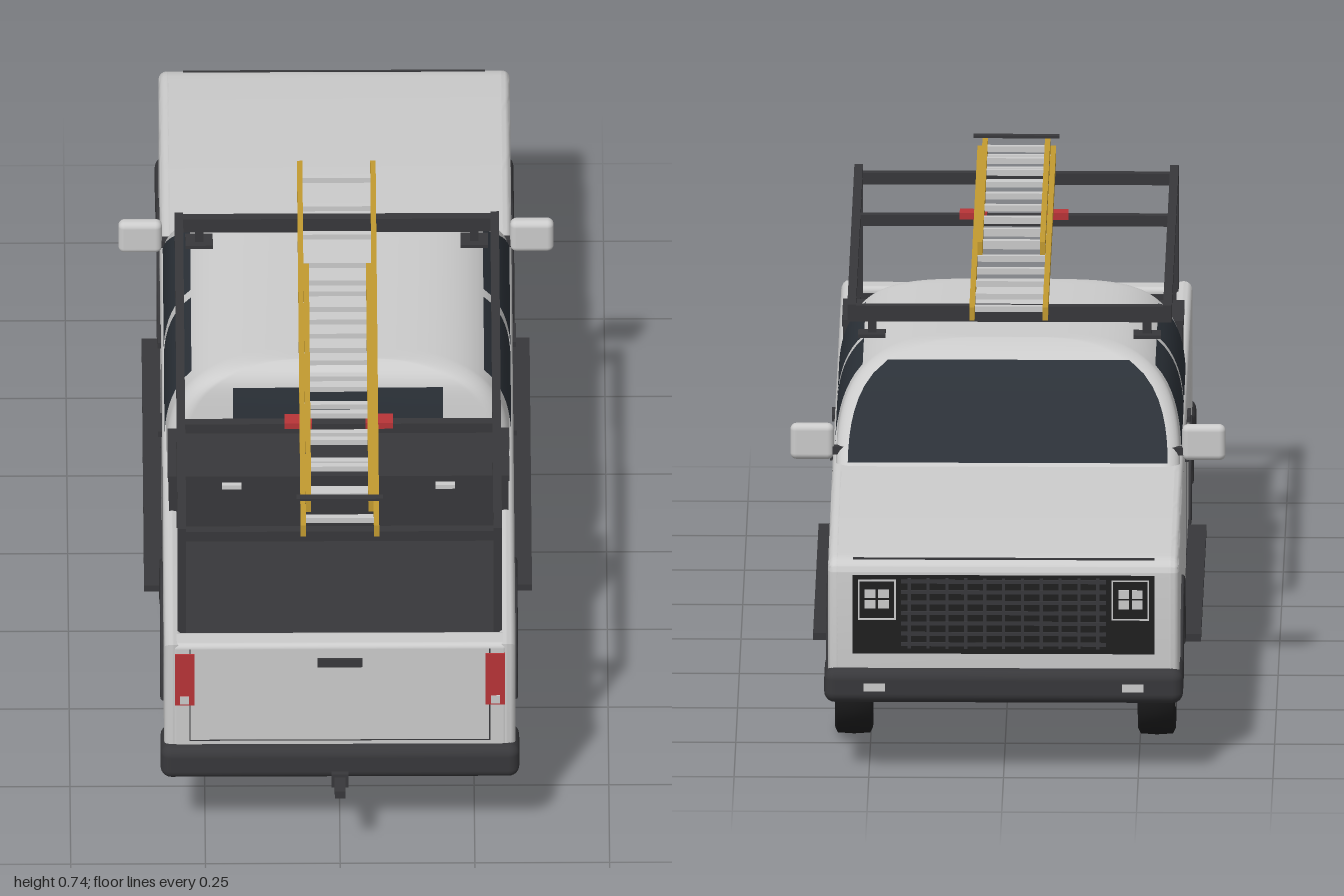
import * as THREE from 'three';
import { mergeVertices, toCreasedNormals } from 'three/addons/utils/BufferGeometryUtils.js';
import { RoundedBoxGeometry } from 'three/addons/geometries/RoundedBoxGeometry.js';

const mat = (color, side = THREE.FrontSide) => new THREE.MeshStandardMaterial({ color, side });
const paint = mat(0xcccccc), dark = mat(0x38383b), black = mat(0x1f1f20), red = mat(0xb83438);
const yellow = mat(0xc29a30), glassMat = mat(0x2b3138, THREE.DoubleSide), well = mat(0x1f1f20, THREE.DoubleSide);
const hubMat = mat(0xcccccc, THREE.DoubleSide);
const WHEEL_Z = [0.493, -0.667], WHEEL_Y = 0.12;

export function createModel() {
  const truck = new THREE.Group();
  truck.name = 'pickupTruck';

  const add = (name, geo, m) => {
    const mesh = new THREE.Mesh(geo, m);
    mesh.name = name;
    truck.add(mesh);
    return mesh;
  };
  // Box given by its extents on each axis; optional rounding
  const box = (name, m, [x0, x1], [y0, y1], [z0, z1], r = 0) => {
    const s = [x1 - x0, y1 - y0, z1 - z0];
    const geo = r ? new RoundedBoxGeometry(...s, 3, r) : new THREE.BoxGeometry(...s);
    geo.translate((x0 + x1) / 2, (y0 + y1) / 2, (z0 + z1) / 2);
    return add(name, geo, m);
  };
  // The same box on both sides
  const pair = (name, m, [x0, x1], y, z, r = 0) => {
    box(name + 'Left', m, [x0, x1], y, z, r);
    box(name + 'Right', m, [-x1, -x0], y, z, r);
  };
  // Side outline (z, y) extruded across x, rounded by b
  const across = (name, m, shape, x0, x1, b = 0) => {
    const geo = new THREE.ExtrudeGeometry(shape, {
      depth: x1 - x0 - 2 * b, bevelEnabled: b > 0, bevelThickness: b, bevelSize: b,
      bevelOffset: -b, bevelSegments: 4, curveSegments: 24,
    });
    geo.rotateY(-Math.PI / 2).translate(x1 - b, 0, 0);
    return add(name, toCreasedNormals(geo, 0.6), m);
  };
  // Smooth grid surface from f(u, v) -> [x, y, z], facing u cross v
  const grid = (name, m, nu, nv, f) => {
    const pos = [], idx = [];
    for (let j = 0; j <= nv; j++) for (let i = 0; i <= nu; i++) {
      pos.push(...f(i / nu, j / nv));
      if (i < nu && j < nv) {
        const a = j * (nu + 1) + i, b = a + nu + 1;
        idx.push(a, a + 1, b, a + 1, b + 1, b);
      }
    }
    let geo = new THREE.BufferGeometry();
    geo.setAttribute('position', new THREE.Float32BufferAttribute(pos, 3));
    geo.setIndex(idx);
    geo = mergeVertices(geo, 1e-5);
    geo.computeVertexNormals();
    return add(name, geo, m);
  };

  // Lower body outline with wheel arches
  const outline = (zRear) => {
    const s = new THREE.Shape();
    s.moveTo(zRear, 0.445);
    s.lineTo(zRear, zRear > 0.5 ? 0.158 : 0.13);
    for (const z of WHEEL_Z) if (z < zRear) s.absarc(z, WHEEL_Y, 0.15, 0.1, Math.PI - 0.1, false);
    s.lineTo(-0.978, 0.145);
    s.lineTo(-0.987, 0.385);
    s.quadraticCurveTo(-0.987, 0.41, -0.95, 0.414);
    s.quadraticCurveTo(-0.7, 0.432, -0.4, 0.437);
    return s;
  };
  across('bodySideLeft', paint, outline(0.926), 0.293, 0.326, 0.015);
  across('bodySideRight', paint, outline(0.926), -0.326, -0.293, 0.015);
  across('hoodAndCabBase', paint, outline(0.33), -0.31, 0.31);

  // Underbody
  const belly = new THREE.Shape();
  [[0.92, 0.155], [0.32, 0.09], [-0.5, 0.09], [-0.96, 0.14], [-0.96, 0.25], [0.9, 0.25]]
    .forEach(([z, y], i) => (i ? belly.lineTo(z, y) : belly.moveTo(z, y)));
  across('underbody', black, belly, -0.235, 0.235);
  box('rearPan', black, [-0.3, 0.3], [0.15, 0.2], [0.65, 0.91]);
  box('frontPan', black, [-0.3, 0.3], [0.138, 0.2], [-0.96, -0.83]);
  pair('rocker', black, [0.2, 0.318], [0.1, 0.145], [-0.5, 0.32]);
  pair('runningBoard', dark, [0.3, 0.36], [0.128, 0.142], [-0.49, 0.305]);

  // Cab: rounded plan sections stacked by height t (0 = belt line, 1 = roof crown)
  const Y0 = 0.43, H = 0.195;
  const halfW = (t) => 0.319 * Math.pow(Math.max(0, 1 - Math.pow(t, 2.5)), 1 / 4.7);
  const roll = (t) => Math.pow(t, 14);
  const zFront = (t) => -0.402 + 0.19 * t + 0.05 * roll(t);
  const zBack = (t) => 0.325 - 0.03 * t - 0.035 * roll(t);
  grid('cab', paint, 28, 26, (u, v) => {
    const t = Math.sin(v * Math.PI / 2), w = halfW(t), r = Math.min(0.035, w);
    const i = Math.round(u * 28) % 28, c = Math.floor(i / 7);
    const a = -(c + (i % 7) / 6) * Math.PI / 2;
    const sx = c === 0 || c === 3 ? 1 : -1, sz = c < 2 ? -1 : 1;
    const cz = sz > 0 ? zBack(t) - r : zFront(t) + r;
    return [sx * (w - r) + r * Math.cos(a), Y0 + H * t, cz + r * Math.sin(a)];
  });

  // Glass follows the cab surface
  const mix = THREE.MathUtils.lerp;
  grid('windshield', glassMat, 12, 8, (u, v) => {
    const t = mix(0.07, 0.87, v);
    return [(2 * u - 1) * (halfW(t) - 0.022), Y0 + H * t, zFront(t) - 0.004];
  });
  for (let i = 0; i < 3; i++) grid('rearWindow' + i, glassMat, 2, 6, (u, v) => {
    const t = mix(0.2, 0.81, v);
    return [mix(-0.195 + i * 0.131, -0.067 + i * 0.131, u), Y0 + H * t, zBack(t) + 0.003];
  });
  for (const s of [1, -1]) {
    const side = s > 0 ? 'Left' : 'Right';
    const sideGlass = (name, from, to) => grid(name + side, glassMat, 6, 10, (u, v) => {
      const t = mix(0.12, 0.79, v);
      return [s * (halfW(t) + 0.003), Y0 + H * t, mix(from(t), to(t), u)];
    });
    sideGlass('frontWindow', (t) => zFront(t) + 0.042, () => -0.02);
    sideGlass('rearDoorWindow', () => 0.005, (t) => 0.265 - 0.03 * t);
  }

  // Door seams, handles and mirrors
  for (const z of [0.325, -0.005, -0.38])
    pair('doorSeam', dark, [0.32, 0.3265], [0.15, 0.425], [z - 0.0015, z + 0.0015]);
  pair('sillSeam', dark, [0.32, 0.3265], [0.15, 0.153], [-0.38, 0.3]);
  for (const z of [0.145, -0.14]) pair('doorHandle', dark, [0.32, 0.333], [0.388, 0.4], [z - 0.03, z + 0.03]);
  pair('mirror', paint, [0.323, 0.404], [0.44, 0.508], [-0.365, -0.338], 0.012);
  pair('mirrorArm', dark, [0.29, 0.33], [0.45, 0.465], [-0.36, -0.345]);

  // Front face: grille, headlights, bumper
  box('hoodFrontSeam', dark, [-0.28, 0.28], [0.4, 0.413], [-0.969, -0.965]);
  box('grillePanel', black, [-0.28, 0.28], [0.235, 0.385], [-0.99, -0.97]);
  for (let i = 0; i < 7; i++)
    box('grilleSlat', dark, [-0.19, 0.19], [0.25 + i * 0.02, 0.257 + i * 0.02], [-0.993, -0.985]);
  for (let i = 0; i < 11; i++)
    box('grilleBar', dark, [-0.178 + i * 0.035, -0.172 + i * 0.035], [0.245, 0.38], [-0.992, -0.985]);
  for (const y of [0.3, 0.374]) pair('headlightTrim', paint, [0.2, 0.27], [y, y + 0.003], [-0.992, -0.985]);
  for (const x of [0.2, 0.267]) pair('headlightTrimSide', paint, [x, x + 0.003], [0.3, 0.377], [-0.992, -0.985]);
  for (const x of [0.213, 0.238]) for (const y of [0.322, 0.342])
    pair('headlight', paint, [x, x + 0.02], [y, y + 0.016], [-0.993, -0.985]);
  box('frontBumper', dark, [-0.333, 0.333], [0.14, 0.205], [-1, -0.858], 0.02);
  pair('fogLight', paint, [0.22, 0.26], [0.165, 0.18], [-1.001, -0.99]);

  // Tailgate, rear lights, rear bumper and hitch
  box('tailgate', paint, [-0.312, 0.312], [0.17, 0.444], [0.88, 0.927], 0.01);
  pair('tailgateSeam', dark, [0.277, 0.279], [0.23, 0.435], [0.92, 0.9275]);
  box('tailgateLowerSeam', dark, [-0.279, 0.279], [0.228, 0.23], [0.92, 0.9275]);
  box('tailgateHandle', dark, [-0.042, 0.042], [0.397, 0.415], [0.92, 0.932]);
  pair('tailLight', red, [0.27, 0.306], [0.31, 0.425], [0.9, 0.93]);
  pair('reverseLight', paint, [0.28, 0.297], [0.314, 0.331], [0.92, 0.932]);
  box('rearBumper', dark, [-0.333, 0.333], [0.15, 0.22], [0.85, 0.946], 0.02);
  box('hitch', dark, [-0.016, 0.016], [0.14, 0.17], [0.88, 0.955]);
  box('hitchTongue', dark, [-0.01, 0.01], [0.147, 0.163], [0.95, 1]);

  // Load bed and toolbox
  box('bedFloor', dark, [-0.295, 0.295], [0.25, 0.285], [0.33, 0.885]);
  box('bedFrontLiner', dark, [-0.292, 0.292], [0.28, 0.43], [0.33, 0.336]);
  pair('bedLiner', dark, [0.289, 0.295], [0.28, 0.428], [0.33, 0.885]);
  box('tailgateLiner', dark, [-0.292, 0.292], [0.28, 0.432], [0.873, 0.882]);
  box('toolbox', dark, [-0.315, 0.315], [0.4, 0.512], [0.345, 0.49]);
  box('toolboxLid', dark, [-0.317, 0.317], [0.511, 0.523], [0.34, 0.495]);
  pair('toolboxLatch', paint, [0.18, 0.216], [0.497, 0.506], [0.489, 0.5]);

  // Wheels, arches and mud flaps
  const tyre = [[0.085, -0.035], [0.108, -0.035], [0.118, -0.03], [0.12, 0], [0.118, 0.03], [0.108, 0.035], [0.088, 0.033]];
  const hub = [[0.088, 0.031], [0.084, 0.034], [0.08, 0.029], [0.05, 0.033], [0, 0.035]];
  const lathe = (pts) => new THREE.LatheGeometry(pts.map(([x, y]) => new THREE.Vector2(x, y)), 40);
  for (const z of WHEEL_Z) for (const s of [1, -1]) {
    const place = (mesh) => { mesh.rotation.z = -s * Math.PI / 2; mesh.position.set(s * 0.281, WHEEL_Y, z); };
    place(add('tyre', lathe(tyre), well));
    place(add('wheelHub', lathe(hub), hubMat));
    const arch = new THREE.Shape();
    arch.absarc(z, WHEEL_Y, 0.177, 0.1, Math.PI - 0.1, false);
    arch.absarc(z, WHEEL_Y, 0.135, Math.PI - 0.1, 0.1, true);
    across('wheelArch', dark, arch, s > 0 ? 0.3 : -0.332, s > 0 ? 0.332 : -0.3, 0.005);
    const liner = new THREE.CylinderGeometry(0.148, 0.148, 0.1, 24, 1, true, 0, Math.PI);
    liner.rotateZ(Math.PI / 2).translate(s * 0.265, WHEEL_Y, z);
    add('wheelWell', liner, well);
  }
  for (const z of [0.663, -0.507]) pair('mudFlap', dark, [0.228, 0.322], [0.047, 0.15], [z - 0.003, z + 0.003]);

  // Ladder rack
  for (const z of [0.87, 0.535]) pair('rackPost', dark, [0.285, 0.301], [0.435, 0.67], [z - 0.008, z + 0.008]);
  pair('rackRail', dark, [0.285, 0.301], [0.663, 0.679], [-0.135, 0.885]);
  for (const [z, y0, y1] of [[0.87, 0.646, 0.668], [0.535, 0.655, 0.676], [-0.125, 0.646, 0.676]])
    box('rackCrossbar', dark, [-0.301, 0.301], [y0, y1], [z - 0.009, z + 0.009]);
  pair('roofFootPlate', dark, [0.23, 0.281], [0.617, 0.624], [-0.145, -0.105]);
  pair('roofFootStem', dark, [0.247, 0.263], [0.62, 0.655], [-0.133, -0.117]);
  pair('rackLight', red, [0.05, 0.101], [0.669, 0.682], [0.52, 0.55]);

  // Two-part ladder
  const ladder = (name, x, y, z0, z1, n) => {
    pair(name + 'Rail', yellow, [x - 0.005, x + 0.005], [y, y + 0.025], [z0, z1]);
    for (let i = 0; i < n; i++) {
      const z = mix(z0 + 0.04, z1 - 0.04, i / (n - 1));
      box(name + 'Rung', paint, [-x, x], [y + 0.007, y + 0.018], [z - 0.006, z + 0.006]);
    }
  };
  ladder('lowerLadder', 0.068, 0.682, -0.26, 0.915, 13);
  ladder('upperLadder', 0.058, 0.71, 0.11, 0.875, 9);
  box('ladderClamp', dark, [-0.08, 0.08], [0.735, 0.74], [0.862, 0.876]);

  return truck;
}
